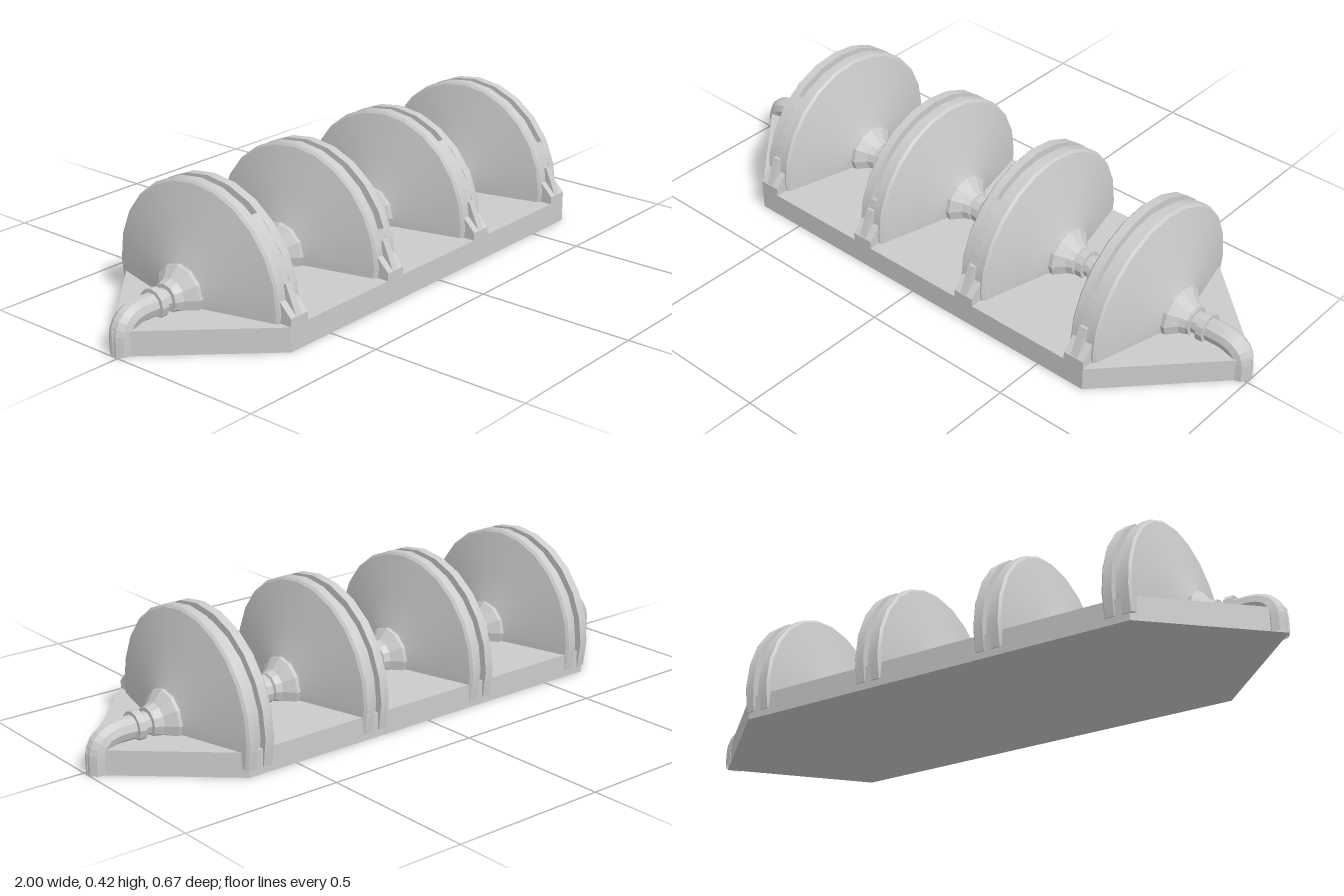
import * as THREE from 'three';
import { toCreasedNormals } from 'three/addons/utils/BufferGeometryUtils.js';

const AXLE_Y = 0.105, AXLE_Z = -0.018, RADIUS = 0.318, BASE_TOP = 0.075;

const smooth = new THREE.MeshStandardMaterial({ color: 0xcccccc });
const faceted = new THREE.MeshStandardMaterial({ color: 0xcccccc, flatShading: true, side: THREE.DoubleSide });

function add(parent, name, geometry, material = faceted) {
  const mesh = new THREE.Mesh(geometry, material);
  mesh.name = name;
  parent.add(mesh);
  return mesh;
}

// Turned part around the x axis: points are [radius, x]
function turned(points, segments) {
  const g = new THREE.LatheGeometry(points.map(([r, x]) => new THREE.Vector2(r, x)), segments);
  return g.rotateZ(-Math.PI / 2);
}

// Mirror a half profile (from the outer end to the middle) to the +x side
function mirrored(half) {
  return [...half, ...half.map(([r, x]) => [r, -x]).reverse()];
}

// Plate from a z/y outline, centred on x
function plate(points, width) {
  const shape = new THREE.Shape(points.map(([z, y]) => new THREE.Vector2(z, y)));
  const g = new THREE.ExtrudeGeometry(shape, { depth: width, bevelEnabled: false });
  return g.translate(0, 0, -width / 2).rotateY(-Math.PI / 2);
}

// Grooved wheel, flattened where it sinks into the base
function wheelGeometry() {
  const g = turned(mirrored([
    [0.08, -0.108], [0.1, -0.1], [0.187, -0.078], [0.31, -0.047],
    [RADIUS, -0.04], [RADIUS, -0.012], [0.295, -0.012],
  ]), 24);
  const p = g.attributes.position;
  for (let i = 0; i < p.count; i++) p.setY(i, Math.max(p.getY(i), 0.02 - AXLE_Y));
  return toCreasedNormals(g, 0.3);
}

// Rim section that closes the groove from the front up to a given angle from the top
function grooveFill(fromTop) {
  const outer = [], inner = [], steps = 8;
  const start = THREE.MathUtils.degToRad(-10), end = THREE.MathUtils.degToRad(90 - fromTop);
  for (let i = 0; i <= steps; i++) {
    const a = start + (end - start) * i / steps;
    outer.push([Math.cos(a) * 0.316, Math.sin(a) * 0.316]);
    inner.unshift([Math.cos(a) * 0.285, Math.sin(a) * 0.285]);
  }
  return plate([...outer, ...inner], 0.024);
}

export function createModel() {
  const model = new THREE.Group();
  model.name = 'wheelRack';

  // Six-sided base slab
  const outline = [[-1, AXLE_Z], [-0.665, -0.322], [0.665, -0.322], [1, AXLE_Z], [0.665, 0.335], [-0.665, 0.335]];
  const slab = new THREE.ExtrudeGeometry(
    new THREE.Shape(outline.map(([x, z]) => new THREE.Vector2(x, z))),
    { depth: BASE_TOP, bevelEnabled: false });
  add(model, 'base', slab.rotateX(Math.PI / 2).translate(0, BASE_TOP, 0));

  // Wheels with hubs, groove fills and front brackets
  const wheel = wheelGeometry();
  const hub = turned(mirrored([[0.035, -0.168], [0.047, -0.165], [0.055, -0.145], [0.087, -0.118], [0.087, -0.09]]), 12);
  const lowBracket = plate([[0.27, 0.03], [0.335, 0.03], [0.335, 0.1], [0.295, 0.14], [0.27, 0.14]], 0.07);
  const tallBracket = plate([[0.26, 0.03], [0.334, 0.03], [0.334, 0.1], [0.297, 0.185], [0.26, 0.185]], 0.024);
  [37, 70, 37, 60].forEach((slotEnd, i) => {
    const unit = new THREE.Group();
    unit.name = 'wheelUnit';
    unit.position.x = -0.63 + 0.42 * i;
    model.add(unit);
    const turning = new THREE.Group();
    turning.name = 'wheelAssembly';
    turning.position.set(0, AXLE_Y, AXLE_Z);
    unit.add(turning);
    add(turning, 'wheel', wheel, smooth);
    add(turning, 'hub', hub);
    add(turning, 'grooveFill', grooveFill(slotEnd));
    add(unit, 'lowBracket', lowBracket);
    add(unit, 'tallBracket', tallBracket);
  });

  // Shaft with paired collars between the wheels and at both ends
  const axle = new THREE.Group();
  axle.name = 'axle';
  axle.position.set(0, AXLE_Y, AXLE_Z);
  model.add(axle);
  add(axle, 'shaft', turned([[0.035, -0.87], [0.035, 0.87]], 10));
  const collar = turned([[0.03, -0.012], [0.047, -0.012], [0.047, 0.012], [0.03, 0.012]], 12);
  for (const x of [-0.815, -0.42, 0, 0.42, 0.815]) {
    for (const side of [-1, 1]) add(axle, 'collar', collar).position.x = x + side * 0.024;
  }

  // Elbows that turn the pipe down through the base at each end
  const V = (x, y) => new THREE.Vector3(x, y, 0);
  const path = new THREE.CurvePath();
  path.add(new THREE.LineCurve3(V(0.85, 0), V(0.89, 0)));
  path.add(new THREE.QuadraticBezierCurve3(V(0.89, 0), V(0.964, 0), V(0.964, -0.06)));
  path.add(new THREE.LineCurve3(V(0.964, -0.06), V(0.964, -AXLE_Y)));
  const elbow = new THREE.TubeGeometry(path, 14, 0.036, 10, false);
  add(axle, 'leftElbow', elbow);
  add(axle, 'rightElbow', elbow).rotation.y = Math.PI;

  return model;
}
